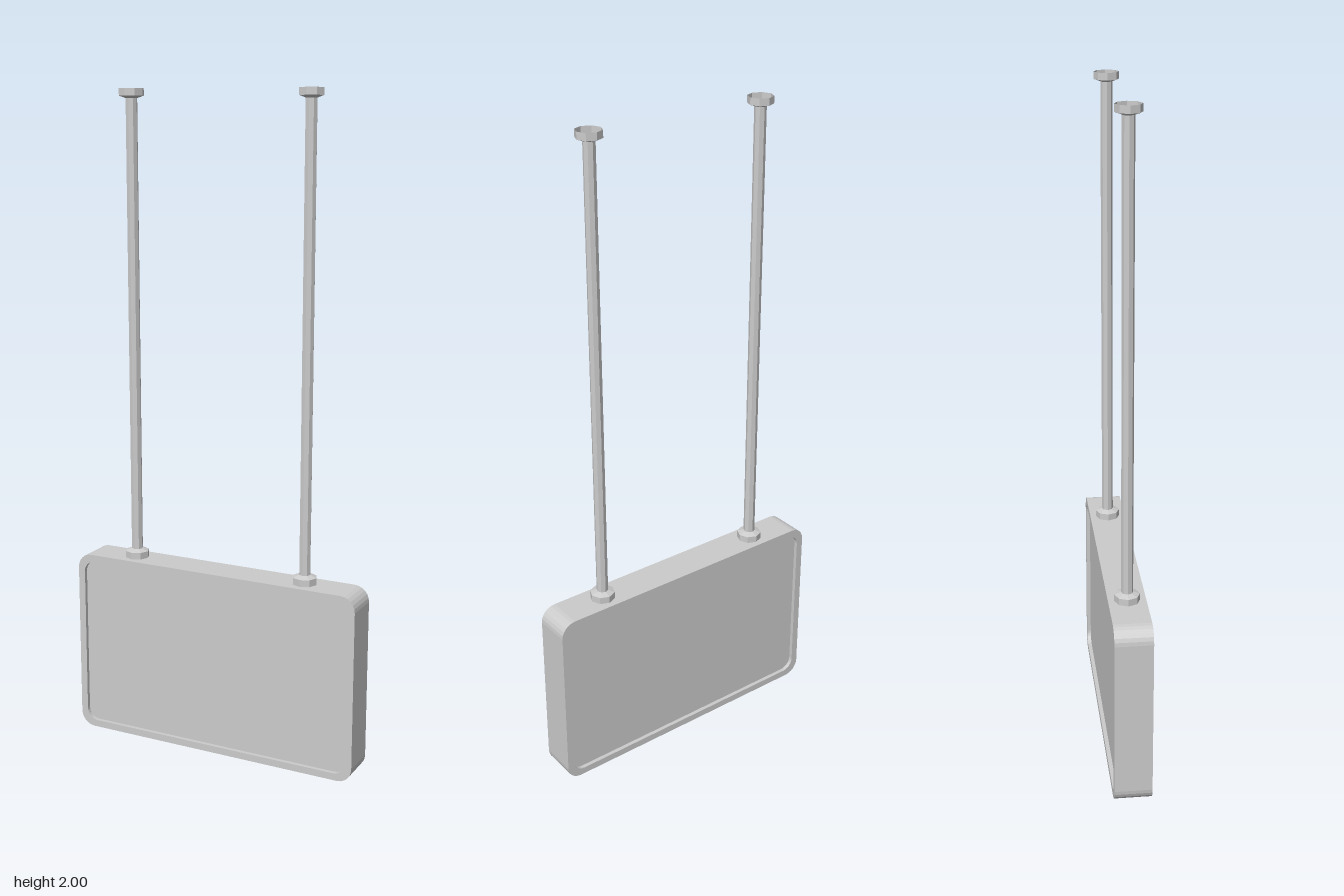
import * as THREE from 'three';

const W = 0.934, H = 0.578, D = 0.112; // sign body
const RIM = 0.022, RECESS = 0.012;
const material = new THREE.MeshStandardMaterial({ color: 0xcccccc, flatShading: true });
const openMaterial = new THREE.MeshStandardMaterial({ color: 0xcccccc, flatShading: true, side: THREE.DoubleSide });

// Rounded rectangle centred on the origin
function roundedRect(w, h, r, Type = THREE.Shape) {
  const x = w / 2 - r, y = h / 2 - r;
  const s = new Type();
  s.absarc(x, y, r, 0, Math.PI / 2);
  s.absarc(-x, y, r, Math.PI / 2, Math.PI);
  s.absarc(-x, -y, r, Math.PI, Math.PI * 1.5);
  s.absarc(x, -y, r, Math.PI * 1.5, Math.PI * 2);
  s.closePath();
  return s;
}

function add(parent, name, geometry, mat = material) {
  const mesh = new THREE.Mesh(geometry, mat);
  mesh.name = name;
  parent.add(mesh);
  return mesh;
}

export function createModel() {
  const model = new THREE.Group();
  model.name = 'hangingSign';

  // Sign box: a frame with a recessed panel on both faces
  const sign = new THREE.Group();
  sign.name = 'signBox';
  sign.position.y = H / 2;
  model.add(sign);

  const innerW = W - 2 * RIM, innerH = H - 2 * RIM, innerR = 0.036;
  const outline = roundedRect(W, H, 0.046);
  outline.holes.push(roundedRect(innerW, innerH, innerR, THREE.Path));
  const frame = new THREE.ExtrudeGeometry(outline, { depth: D, bevelEnabled: false, curveSegments: 3 });
  add(sign, 'frame', frame.translate(0, 0, -D / 2));

  const face = new THREE.ShapeGeometry(roundedRect(innerW, innerH, innerR), 3);
  for (const [name, side] of [['frontPanel', 1], ['backPanel', -1]]) {
    const panel = add(sign, name, face);
    panel.position.z = side * (D / 2 - RECESS);
    if (side < 0) panel.rotation.y = Math.PI;
  }

  // Octagonal mounting collar, open at its base and tapering to the rod
  const collar = new THREE.LatheGeometry([
    new THREE.Vector2(0.0375, 0),
    new THREE.Vector2(0.0375, 0.021),
    new THREE.Vector2(0.0175, 0.028),
  ], 8);
  const rodBottom = H + 0.026, rodTop = 1.974;
  const rod = new THREE.CylinderGeometry(0.0175, 0.0175, rodTop - rodBottom, 8, 1, true);

  // Two hanging rods, each with a collar at the sign and at the ceiling
  for (const [name, x] of [['leftHanger', 0.285], ['rightHanger', -0.285]]) {
    const hanger = new THREE.Group();
    hanger.name = name;
    hanger.position.x = x;
    add(hanger, 'rod', rod, openMaterial).position.y = (rodTop + rodBottom) / 2;
    add(hanger, 'lowerCollar', collar, openMaterial).position.y = H;
    const upper = add(hanger, 'upperCollar', collar, openMaterial);
    upper.position.y = 2;
    upper.rotation.x = Math.PI;
    model.add(hanger);
  }
  return model;
}
